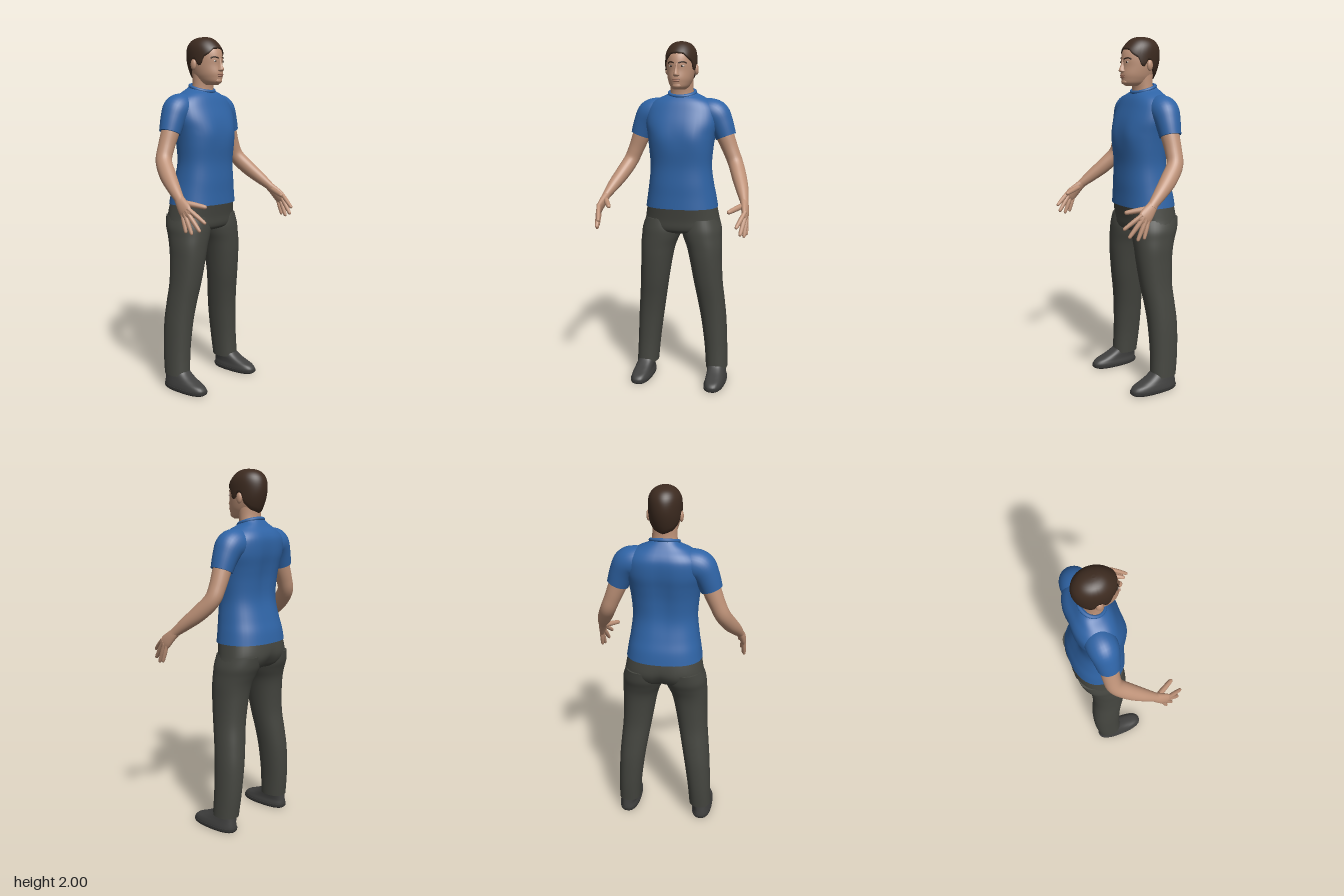
import * as THREE from 'three';

const paint = (name, color) => Object.assign(new THREE.MeshStandardMaterial({ color }), { name });
const mats = {
  skin: paint('skin', 0xbe9278), lips: paint('lips', 0xa0705c), hair: paint('dark brown hair', 0x3d2b20),
  shirt: paint('blue shirt', 0x2f64a6), trousers: paint('grey trousers', 0x454640),
  shoes: paint('shoe leather', 0x414140), sole: paint('shoe sole', 0x383837),
  eye: paint('eye white', 0xcfc4ba), iris: paint('iris', 0x2a1c15),
};
const V = (x, y, z) => new THREE.Vector3(x, y, z);
const bump = (v, centre, width) => Math.exp(-(((v - centre) / width) ** 2));
const circle = (n, fn) => Array.from({ length: n }, (_, j) => fn(j / n * Math.PI * 2));
const part = (name, geometry, mat) => Object.assign(new THREE.Mesh(geometry, mat), { name });

// Catmull-Rom smoothing of a table of section values
function smooth(rows, n = 5) {
  const out = [], last = rows.length - 1;
  for (let i = 0; i < last; i++) {
    const [a, b, c, d] = [rows[Math.max(i - 1, 0)], rows[i], rows[i + 1], rows[Math.min(i + 2, last)]];
    for (let t = 0, k = 0; k < n; t = ++k / n) {
      out.push(b.map((p, j) => p + 0.5 * t * (c[j] - a[j] + t * (2 * a[j] - 5 * p + 4 * c[j] - d[j]
        + t * (3 * (p - c[j]) + d[j] - a[j])))));
    }
  }
  return [...out, rows[last]];
}

// Closed skin over rings of points, with crisp caps
function skinRings(name, mat, rings) {
  const pos = [], idx = [], n = rings[0].length, m = rings.length;
  const add = (p) => pos.push(p.x, p.y, p.z) / 3 - 1;
  rings.forEach((r) => r.forEach(add));
  for (let i = 0; i < m - 1; i++) for (let j = 0; j < n; j++) {
    const a = i * n + j, b = i * n + (j + 1) % n;
    idx.push(a, b, a + n, b, b + n, a + n);
  }
  [rings[0], rings[m - 1]].forEach((r, end) => {
    const c = add(r.reduce((s, p) => s.add(p), V(0, 0, 0)).divideScalar(n));
    r.forEach(add);
    for (let j = 0; j < n; j++) {
      const a = c + 1 + j, b = c + 1 + (j + 1) % n;
      idx.push(c, end ? a : b, end ? b : a);
    }
  });
  // Turn the faces outward
  const at = (i) => V(pos[3 * i], pos[3 * i + 1], pos[3 * i + 2]);
  let vol = 0;
  for (let i = 0; i < idx.length; i += 3) vol += at(idx[i]).dot(at(idx[i + 1]).cross(at(idx[i + 2])));
  if (vol < 0) idx.reverse();
  const g = new THREE.BufferGeometry();
  g.setAttribute('position', new THREE.Float32BufferAttribute(pos, 3));
  g.setIndex(idx);
  g.computeVertexNormals();
  return part(name, g, mat);
}

// Stack of level superellipses: [y, centre x, front z, back z, half width, optional front tilt]
function stack(name, mat, rows, { e = 2, side = 1, sculpt } = {}) {
  const pw = (v) => Math.sign(v) * Math.abs(v) ** (2 / e);
  const full = rows.map((r) => (r.length < 6 ? [...r, 0] : r));
  const rings = smooth(full).map(([y, cx, zf, zb, hw, tilt]) => circle(40, (a) => V(
    side * (cx + hw * pw(Math.sin(a))), y + tilt * Math.cos(a), (zf + zb) / 2 + (zf - zb) / 2 * pw(Math.cos(a)))));
  if (sculpt) rings.flat().forEach(sculpt);
  return skinRings(name, mat, rings);
}

// Limb along a path: [x, y, z, width radius, optional thickness radius]
function limb(name, mat, rows, side, seg = 20) {
  const s = smooth(rows.map((r) => (r.length < 5 ? [...r, r[3]] : r)));
  return skinRings(name, mat, s.map(([x, y, z, w, h], i) => {
    const a = s[Math.max(i - 1, 0)], b = s[Math.min(i + 1, s.length - 1)];
    const t = V(b[0] - a[0], b[1] - a[1], b[2] - a[2]).normalize();
    const u = V(0, 0, 1).addScaledVector(t, -t.z).normalize(), v = t.clone().cross(u);
    return circle(seg, (q) => V(x, y, z).addScaledVector(u, w * Math.cos(q))
      .addScaledVector(v, h * Math.sin(q)).multiply(V(side, 1, 1)));
  }));
}

function blob(name, mat, p, s) {
  const m = part(name, new THREE.SphereGeometry(1, 20, 14), mat);
  m.position.set(...p);
  m.scale.set(...s);
  return m;
}

const HEAD = [
  [1.735, 0, 0.01, -0.1, 0.03], [1.75, 0, 0.028, -0.135, 0.05], [1.775, 0, 0.033, -0.155, 0.063],
  [1.8, 0, 0.035, -0.168, 0.071], [1.84, 0, 0.03, -0.182, 0.078], [1.88, 0, 0.031, -0.191, 0.08],
  [1.92, 0, 0.022, -0.191, 0.08], [1.95, 0, 0.002, -0.182, 0.073], [1.975, 0, -0.024, -0.16, 0.055],
  [1.988, 0, -0.05, -0.13, 0.03], [1.992, 0, -0.075, -0.095, 0.008],
];
const headRows = smooth(HEAD, 8);
// Linear lookup in a table sorted by its first column
function lookup(table, key) {
  const found = table.findIndex((r) => r[0] >= key), i = found < 0 ? table.length - 1 : Math.max(found, 1);
  const a = table[i - 1], b = table[i], t = THREE.MathUtils.clamp((key - a[0]) / (b[0] - a[0]), 0, 1);
  return a.map((v, k) => v + (b[k] - v) * t);
}
function headPoint(angle, y) {
  const [, , zf, zb, hw] = lookup(headRows, y);
  return V(hw * Math.sin(angle), y, (zf + zb) / 2 + (zf - zb) / 2 * Math.cos(angle));
}
const faceZ = (x, y) => headPoint(Math.asin(x / lookup(headRows, y)[4]), y).z;

function buildHead() {
  const g = new THREE.Group();
  g.name = 'head';
  g.add(stack('skull', mats.skin, HEAD));
  g.add(stack('neck', mats.skin, [[1.64, 0, -0.03, -0.17, 0.075], [1.7, 0, -0.043, -0.16, 0.069],
    [1.75, 0, -0.04, -0.152, 0.066], [1.81, 0, -0.03, -0.155, 0.066]]));
  // Short hair follows the skull, from a hairline given as [angle from front, height]
  const line = [[0, 1.932], [0.45, 1.928], [0.75, 1.905], [1.1, 1.885], [1.25, 1.845], [1.45, 1.842],
    [1.55, 1.875], [1.8, 1.872], [1.95, 1.825], [2.4, 1.79], [3.15, 1.772]];
  g.add(skinRings('hair', mats.hair, Array.from({ length: 20 }, (_, k) => circle(72, (a) => {
    const y0 = lookup(line, Math.min(a, Math.PI * 2 - a))[1];
    const p = headPoint(a, y0 + (1.992 - y0) * (1 - (1 - Math.max(0, k - 1) / 18) ** 2));
    return p.addScaledVector(p.clone().sub(V(0, 1.87, -0.08)).normalize(), k ? 0.008 : -0.003);
  }))));
  // Face
  g.add(stack('nose', mats.skin, [[1.88, 0, 0.032, 0, 0.007], [1.85, 0, 0.041, 0, 0.009],
    [1.825, 0, 0.053, 0, 0.015], [1.814, 0, 0.052, 0, 0.019], [1.807, 0, 0.04, 0, 0.012]]));
  g.add(blob('upperLip', mats.lips, [0, 1.791, 0.033], [0.024, 0.005, 0.008]));
  g.add(blob('lowerLip', mats.lips, [0, 1.782, 0.032], [0.02, 0.006, 0.008]));
  g.add(blob('chin', mats.skin, [0, 1.757, 0.017], [0.026, 0.016, 0.017]));
  for (const s of [1, -1]) {
    const z = faceZ(0.031, 1.863);
    g.add(blob('eye', mats.eye, [s * 0.031, 1.863, z - 0.001], [0.013, 0.0055, 0.004]));
    g.add(blob('iris', mats.iris, [s * 0.031, 1.863, z + 0.001], [0.0055, 0.0055, 0.0035]));
    const brow = [[0.012, 1.879], [0.024, 1.884], [0.038, 1.886], [0.052, 1.879]].map(([x, y]) => V(s * x, y, faceZ(x, y)));
    g.add(part('eyebrow', new THREE.TubeGeometry(new THREE.CatmullRomCurve3(brow), 12, 0.004, 8), mats.hair));
    g.add(blob('ear', mats.skin, [s * 0.085, 1.846, -0.093], [0.012, 0.03, 0.018]));
  }
  return g;
}

function buildArm(s) {
  const g = new THREE.Group();
  g.name = s > 0 ? 'leftArm' : 'rightArm';
  g.add(limb('sleeve', mats.shirt, [[0.1, 1.61, -0.125, 0.07], [0.15, 1.608, -0.125, 0.08],
    [0.193, 1.59, -0.122, 0.08, 0.083], [0.226, 1.54, -0.12, 0.07], [0.253, 1.472, -0.118, 0.06]], s, 32));
  g.add(limb('arm', mats.skin, [[0.225, 1.54, -0.118, 0.053], [0.25, 1.475, -0.118, 0.051],
    [0.285, 1.39, -0.118, 0.047, 0.045], [0.315, 1.32, -0.106, 0.046, 0.043], [0.348, 1.25, -0.045, 0.046, 0.041],
    [0.378, 1.19, 0.025, 0.037, 0.034], [0.4, 1.14, 0.085, 0.027, 0.023], [0.406, 1.125, 0.1, 0.027, 0.021]], s, 28));
  g.add(limb('palm', mats.skin, [[0.398, 1.143, 0.08, 0.026, 0.022], [0.408, 1.115, 0.11, 0.033, 0.021],
    [0.416, 1.085, 0.14, 0.039, 0.018], [0.42, 1.062, 0.16, 0.036, 0.013], [0.421, 1.052, 0.169, 0.02, 0.006]], s));
  // Each finger: base, tip, radius
  const fingers = { indexFinger: [[0.415, 1.085, 0.177], [0.387, 1.02, 0.26], 0.0115],
    middleFinger: [[0.42, 1.07, 0.166], [0.405, 0.977, 0.238], 0.012],
    ringFinger: [[0.424, 1.057, 0.151], [0.42, 0.96, 0.195], 0.0115],
    littleFinger: [[0.424, 1.05, 0.134], [0.428, 0.967, 0.16], 0.0105],
    thumb: [[0.397, 1.12, 0.11], [0.335, 1.096, 0.222], 0.014] };
  for (const [name, [a, b, r]] of Object.entries(fingers)) {
    g.add(limb(name, mats.skin, [[-0.15, 1], [0.3, 1.08], [0.6, 1], [0.88, 0.85], [0.97, 0.6], [1, 0.15]].map(
      ([t, k]) => [...V(...a).lerp(V(...b), t).toArray(), r * k]), s, 12));
  }
  return g;
}

function buildLeg(s) {
  const g = new THREE.Group();
  g.name = s > 0 ? 'leftLeg' : 'rightLeg';
  g.add(stack('trouserLeg', mats.trousers, [[1.0, 0.115, 0.015, -0.25, 0.1], [0.94, 0.118, 0.024, -0.24, 0.116],
    [0.89, 0.126, 0.025, -0.22, 0.112], [0.83, 0.14, 0.023, -0.2, 0.102], [0.75, 0.15, 0.018, -0.19, 0.093],
    [0.62, 0.164, 0.002, -0.185, 0.084], [0.5, 0.18, -0.018, -0.196, 0.079], [0.38, 0.195, -0.031, -0.205, 0.074],
    [0.22, 0.209, -0.037, -0.201, 0.067], [0.085, 0.217, -0.033, -0.187, 0.064]], { e: 2.2, side: s }));
  g.add(stack('shoe', mats.shoes, [[0.015, 0.225, 0.106, -0.184, 0.057], [0.03, 0.225, 0.106, -0.184, 0.057],
    [0.048, 0.225, 0.088, -0.182, 0.054], [0.065, 0.223, 0.045, -0.18, 0.052], [0.085, 0.22, 0.0, -0.178, 0.051],
    [0.11, 0.217, -0.035, -0.175, 0.049], [0.14, 0.217, -0.045, -0.172, 0.046]], { e: 2.5, side: s }));
  g.add(stack('sole', mats.sole, [[0, 0.225, 0.098, -0.18, 0.054], [0.008, 0.225, 0.11, -0.187, 0.06],
    [0.022, 0.225, 0.111, -0.188, 0.061]], { e: 2.5, side: s }));
  return g;
}

export function createModel() {
  const model = new THREE.Group();
  model.name = 'standingMan';
  // T-shirt body with a spine hollow and soft chest
  model.add(stack('shirtBody', mats.shirt, [[1.065, 0, 0.05, -0.26, 0.211], [1.13, 0, 0.048, -0.25, 0.201],
    [1.2, 0, 0.048, -0.23, 0.189], [1.3, 0, 0.045, -0.208, 0.178], [1.4, 0, 0.052, -0.212, 0.185],
    [1.48, 0, 0.048, -0.224, 0.196], [1.55, 0, 0.033, -0.236, 0.21], [1.62, 0, 0.005, -0.236, 0.205],
    [1.66, 0, -0.013, -0.222, 0.178], [1.688, 0, -0.028, -0.197, 0.135, -0.005],
    [1.708, 0, -0.038, -0.178, 0.09, -0.013], [1.722, 0, -0.043, -0.165, 0.072, -0.018]], { e: 2.35, sculpt: (p) => {
    if (p.z < -0.15) p.z += 0.016 * bump(p.x, 0, 0.045) * bump(p.y, 1.45, 0.18);
    if (p.z > 0) p.z += 0.008 * bump(Math.abs(p.x), 0.09, 0.05) * bump(p.y, 1.47, 0.07);
  } }));
  // Collar band dips at the front
  const collar = new THREE.CatmullRomCurve3(circle(24, (a) => V(
    0.074 * Math.sin(a), 1.718 - 0.02 * Math.cos(a), -0.104 + 0.063 * Math.cos(a))), true);
  model.add(part('collar', new THREE.TubeGeometry(collar, 64, 0.01, 10, true), mats.shirt));
  // Trouser seat
  model.add(stack('trouserSeat', mats.trousers, [[1.08, 0, 0.04, -0.25, 0.203], [1.0, 0, 0.028, -0.26, 0.218],
    [0.95, 0, 0.024, -0.242, 0.226], [0.925, 0, 0.01, -0.215, 0.2], [0.91, 0, -0.03, -0.17, 0.13]], { e: 2.4, sculpt: (p) => {
    if (p.z < -0.12) p.z += 0.02 * bump(p.x, 0, 0.03) * bump(p.y, 0.95, 0.06);
  } }));
  for (const s of [1, -1]) model.add(buildArm(s), buildLeg(s));
  model.add(buildHead());
  return model;
}
